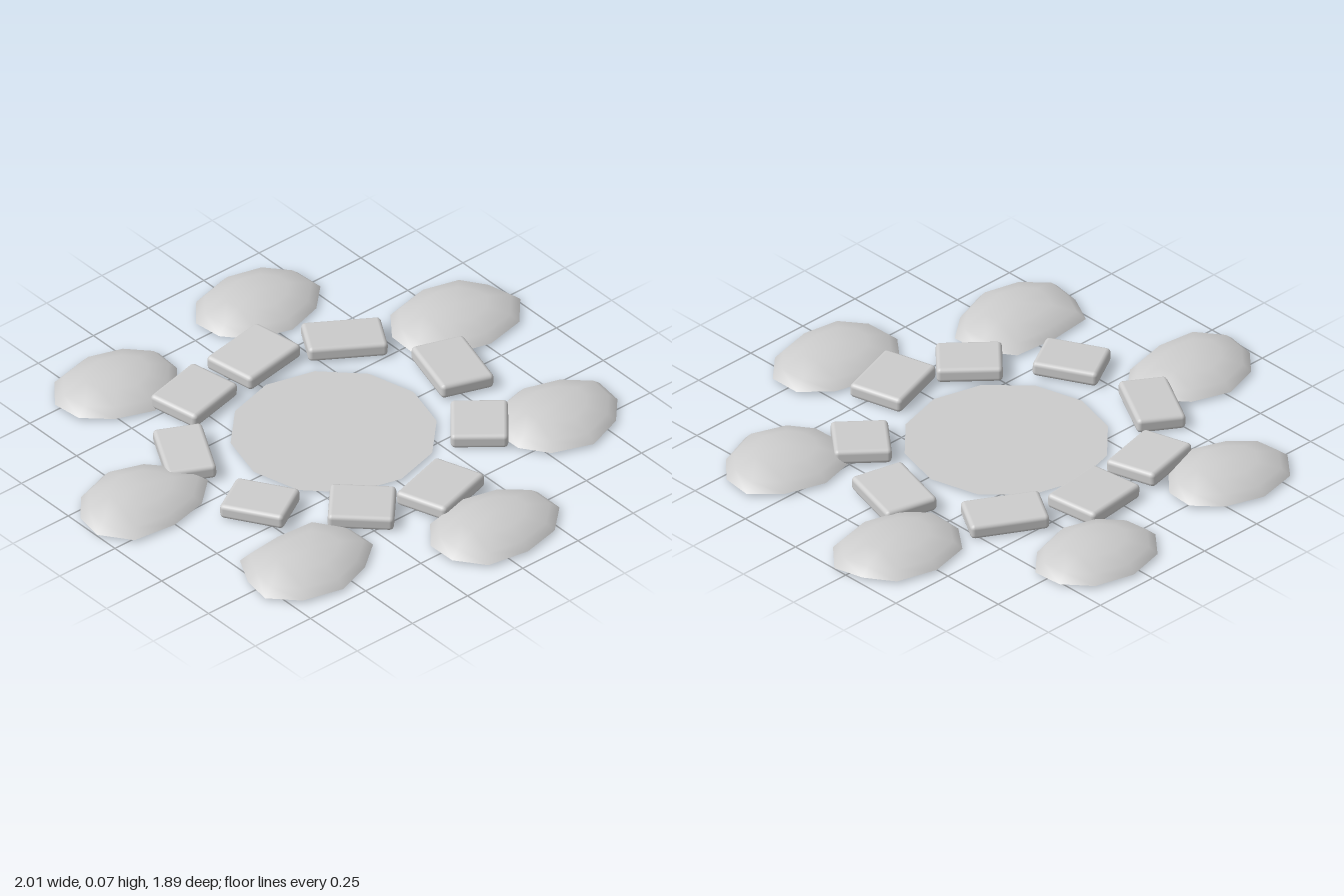
import * as THREE from 'three';
import { mergeVertices } from 'three/addons/utils/BufferGeometryUtils.js';
import { RoundedBoxGeometry } from 'three/addons/geometries/RoundedBoxGeometry.js';

const BASE = 0.015;   // height of the flat undersides
const SIDES = 10;

// Large stones: centre x, z and the outline's relative radii, from the back round by +x
const BOULDERS = [
  [-0.38, -0.71, [1, .93, .91, .88, .9, 1, .9, .92, .97, 1.02]],
  [0.29, -0.76, [.98, .96, .92, .95, .93, .97, .92, .88, .93, .97]],
  [0.76, -0.26, [1.01, .98, .88, .99, 1.02, 1, .98, .97, .95, 1.02]],
  [0.65, 0.41, [1.03, .97, .99, .93, .95, 1.05, .95, .86, .87, 1.02]],
  [0.07, 0.76, [.97, .96, 1, 1, .97, .96, 1.02, .94, .95, 1]],
  [-0.56, 0.51, [.95, 1.09, .98, .99, .91, .99, .98, .97, .9, 1.07]],
  [-0.76, -0.15, [.99, .91, .88, 1.03, .98, .97, 1.07, .98, .9, .93]],
];

// Small stones: centre x, z, length, width, turn in degrees
const BLOCKS = [
  [-0.24, -0.475, 0.25, 0.2, 13],
  [0.065, -0.515, 0.265, 0.21, 8],
  [0.37, -0.39, 0.28, 0.175, -31],
  [0.55, -0.025, 0.27, 0.2, 74],
  [0.405, 0.29, 0.215, 0.2, 50],
  [0.055, 0.495, 0.26, 0.205, 17],
  [-0.22, 0.4, 0.23, 0.195, -43],
  [-0.475, 0.155, 0.235, 0.185, -60],
  [-0.485, -0.235, 0.27, 0.175, 61],
];

// Revolved profile whose sides are pushed in and out by the outline radii
function irregularLathe(profile, radii) {
  let geo = new THREE.LatheGeometry(profile.map(([r, y]) => new THREE.Vector2(r, y)), SIDES);
  const pos = geo.attributes.position;
  for (let i = 0; i <= SIDES; i++) {
    const f = radii[(15 - i) % SIDES];
    for (let j = 0; j < profile.length; j++) {
      const n = i * profile.length + j;
      pos.setXYZ(n, pos.getX(n) * 0.262 * f, pos.getY(n), pos.getZ(n) * 0.193 * f);
    }
  }
  geo.deleteAttribute('uv');
  geo.deleteAttribute('normal');
  geo = mergeVertices(geo, 1e-5);
  geo.computeVertexNormals();
  return geo;
}

export function createModel() {
  const model = new THREE.Group();
  model.name = 'stoneRing';
  const stone = new THREE.MeshStandardMaterial({ color: 0xcccccc });
  stone.name = 'stoneGrey';
  const sheet = new THREE.MeshStandardMaterial({ color: 0xcccccc, side: THREE.DoubleSide });
  sheet.name = 'stoneGreyFlat';

  // Flat twelve-sided centre
  const disc = new THREE.Mesh(new THREE.CircleGeometry(0.362, 12), sheet);
  disc.name = 'centreDisc';
  disc.rotation.x = -Math.PI / 2;
  disc.position.set(0.01, BASE, -0.023);
  model.add(disc);

  // Outer ring of low domed stones with flat undersides
  const dome = [[1, 0], [0.86, 0.03], [0.5, 0.056], [0, 0.065]];
  for (const [x, z, radii] of BOULDERS) {
    const boulder = new THREE.Group();
    boulder.name = 'outerStone';
    boulder.position.set(x, BASE, z);
    const top = new THREE.Mesh(irregularLathe(dome, radii), stone);
    top.name = 'stoneDome';
    const under = new THREE.Mesh(irregularLathe([[0, 0], [1, 0]], radii), stone);
    under.name = 'stoneUnderside';
    boulder.add(top, under);
    model.add(boulder);
  }

  // Inner ring of rounded blocks, each slightly tilted
  BLOCKS.forEach(([x, z, length, width, turn], i) => {
    const block = new THREE.Mesh(new RoundedBoxGeometry(length, 0.055, width, 2, 0.016), stone);
    block.name = 'innerStone';
    block.position.set(x, 0.038, z);
    block.rotation.set(0.04 * Math.cos(i * 2), THREE.MathUtils.degToRad(turn), 0.03 * Math.sin(i * 2), 'YXZ');
    model.add(block);
  });

  return model;
}
